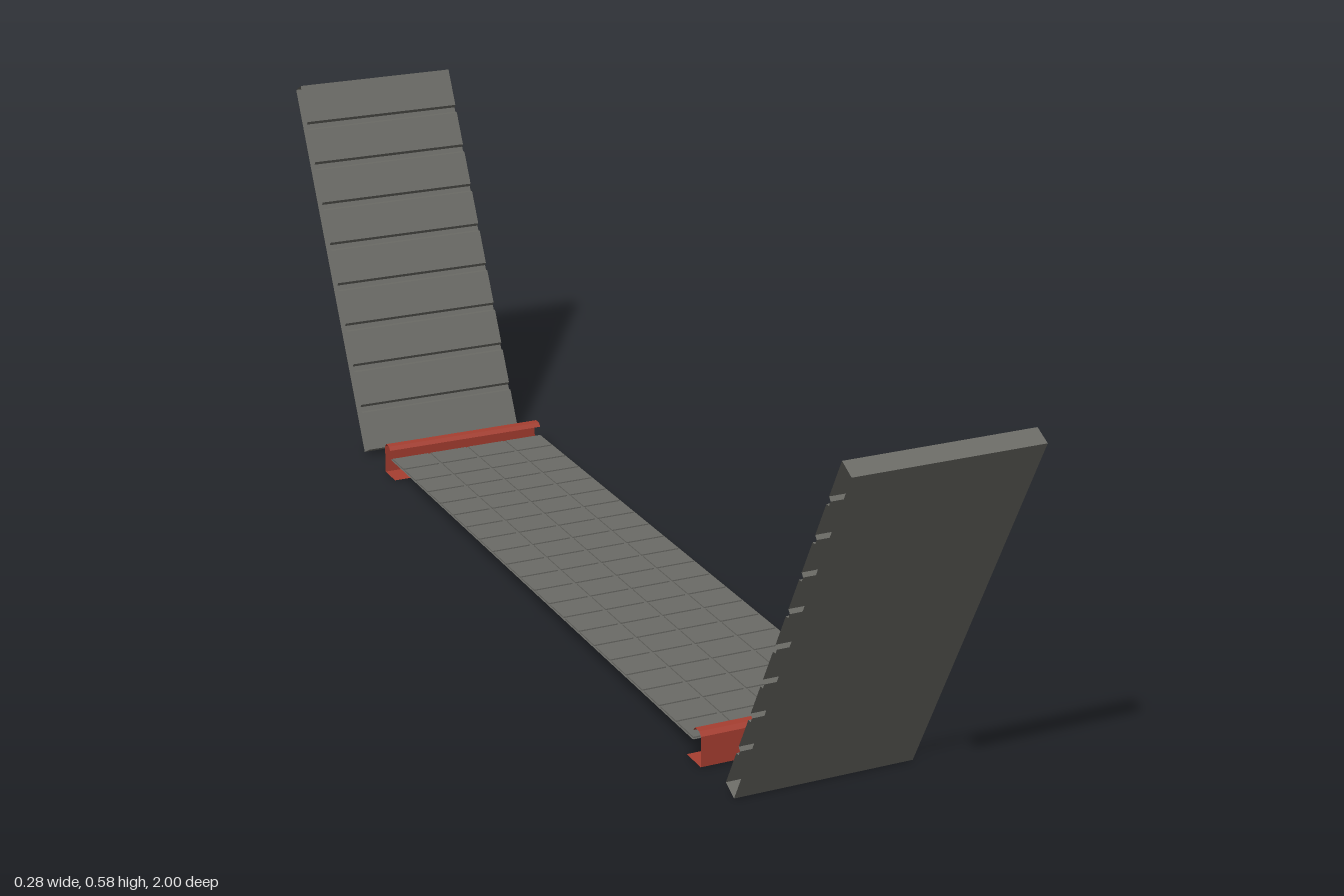
import * as THREE from 'three';

const WIDTH = 0.275;

// Sheet swept along x from a [z, y] profile, open at both ends, with hard creases
function sweep(points, closed) {
  const pts = closed ? [...points, points[0]] : points;
  const h = WIDTH / 2;
  const pos = [];
  for (let i = 0; i < pts.length - 1; i++) {
    const [z0, y0] = pts[i];
    const [z1, y1] = pts[i + 1];
    pos.push(-h, y0, z0, h, y0, z0, h, y1, z1);
    pos.push(-h, y0, z0, h, y1, z1, -h, y1, z1);
  }
  const geo = new THREE.BufferGeometry();
  geo.setAttribute('position', new THREE.Float32BufferAttribute(pos, 3));
  geo.computeVertexNormals();
  return geo;
}

function addMesh(parent, name, geo, mat) {
  const mesh = new THREE.Mesh(geo, mat);
  mesh.name = name;
  parent.add(mesh);
  return mesh;
}

export function createModel() {
  const model = new THREE.Group();
  model.name = 'slattedBayWithGridFloor';
  const gray = new THREE.MeshStandardMaterial({ color: 0x6b6b66, side: THREE.DoubleSide });
  gray.name = 'warm gray';
  const red = new THREE.MeshStandardMaterial({ color: 0xa63e30, side: THREE.DoubleSide });
  red.name = 'brick red';

  // Leaning panel: flat outer plate, grooved slats on the inner side
  const tilt = 0.478, length = 0.642, depth = 0.028, slats = 9, groove = 0.006;
  const place = (along, inward) => [
    0.705 + along * Math.sin(tilt) - inward * Math.cos(tilt),
    0.002 + along * Math.cos(tilt) + inward * Math.sin(tilt),
  ];
  const section = [place(length, 0), place(0, 0)];
  const pitch = length / slats;
  for (let i = 0; i < slats; i++) {
    const a = i * pitch, b = a + pitch;
    if (i > 0) section.push(place(a + 0.004, depth - groove));
    section.push(place(i > 0 ? a + 0.007 : a, depth));
    section.push(place(i < slats - 1 ? b - 0.007 : b, depth));
    if (i < slats - 1) section.push(place(b - 0.004, depth - groove));
  }
  const panelGeo = sweep(section, true);

  // Edge rail: bevelled top lip, upright wall and bottom flange under the floor
  const railGeo = sweep([
    [0.58, 0.048], [0.585, 0.054], [0.598, 0.054], [0.604, 0.048],
    [0.604, 0.002], [0.56, 0.002],
  ], false);

  // The two ends are half-turn copies of each other
  for (const [name, turn] of [['front', 0], ['back', Math.PI]]) {
    const end = new THREE.Group();
    end.name = name + 'End';
    end.rotation.y = turn;
    addMesh(end, name + 'SlattedPanel', panelGeo, gray);
    addMesh(end, name + 'Rail', railGeo, red);
    model.add(end);
  }

  // Floor sheet with thin tiles showing on both faces
  const floorLength = 1.156, columns = 4, rows = 21, gap = 0.005, floorY = 0.033;
  const floor = new THREE.Group();
  floor.name = 'floor';
  model.add(floor);
  addMesh(floor, 'floorSheet', sweep([[-floorLength / 2, floorY], [floorLength / 2, floorY]], false), gray);
  const dx = WIDTH / columns, dz = floorLength / rows;
  const tileGeo = new THREE.BoxGeometry(dx - gap, 0.004, dz - gap);
  for (let i = 0; i < columns; i++) {
    for (let j = 0; j < rows; j++) {
      addMesh(floor, 'floorTile', tileGeo, gray)
        .position.set((i + 0.5) * dx - WIDTH / 2, floorY, (j + 0.5) * dz - floorLength / 2);
    }
  }
  return model;
}
